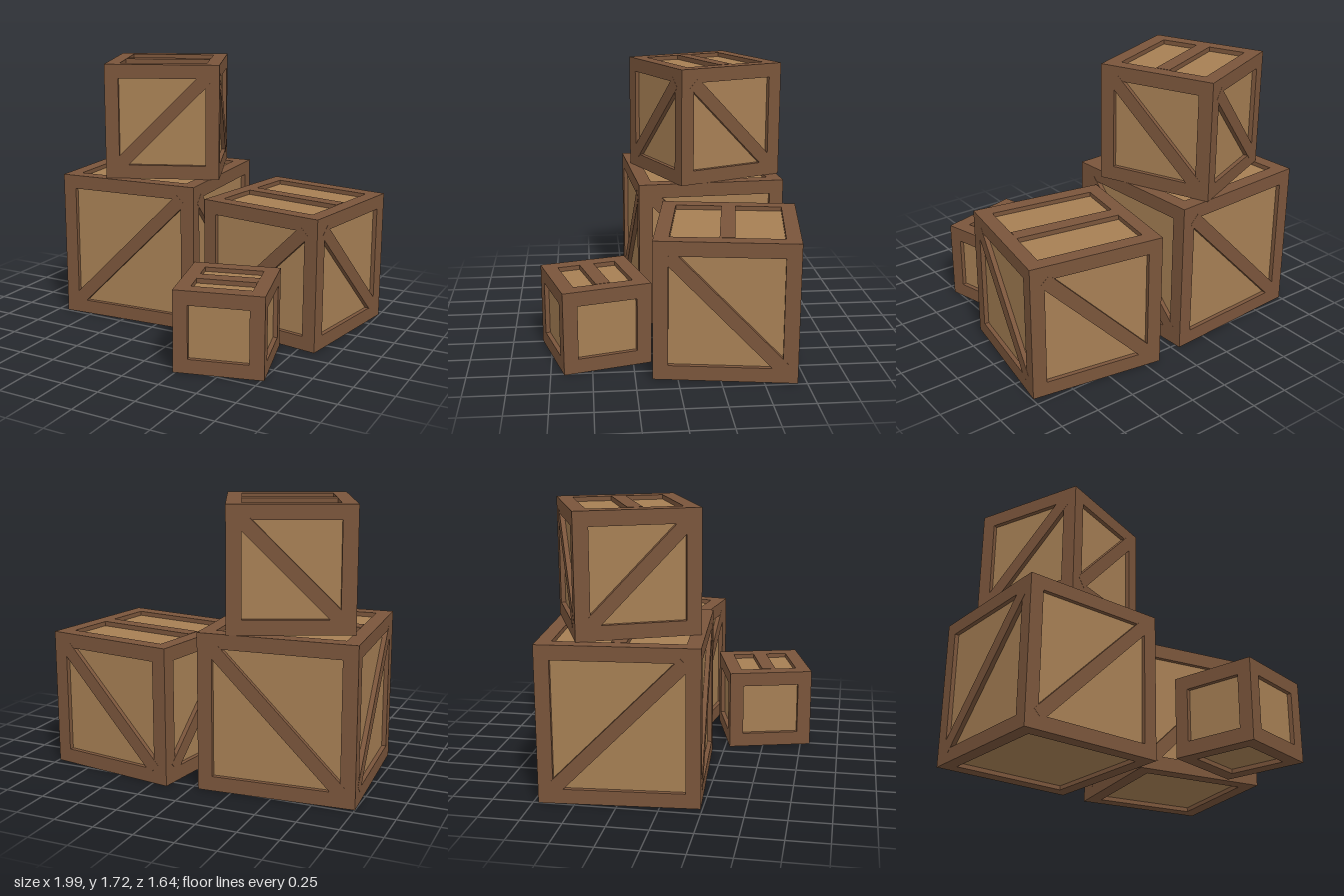
import * as THREE from 'three';

const BEAM = 0.09;    // width of the frame timbers and braces
const RECESS = 0.028; // how far the panels sit behind the frame
const PROUD = 0.002;  // how far braces stand out from the frame

const frameWood = new THREE.MeshStandardMaterial({ name: 'frameWood', color: 0x7a553b });
const panelWood = new THREE.MeshStandardMaterial({ name: 'panelWood', color: 0xa67f54 });

function addBox(parent, name, material, size, position) {
  const mesh = new THREE.Mesh(new THREE.BoxGeometry(...size), material);
  mesh.name = name;
  mesh.position.set(...position);
  parent.add(mesh);
  return mesh;
}

function makeCrate({ name, w, h, x, y, z, turn, braced }) {
  const crate = new THREE.Group();
  crate.name = name;
  crate.position.set(x, y + h / 2, z);
  crate.rotation.y = turn;

  // Recessed panels on all six sides
  addBox(crate, 'panels', panelWood, [w - 2 * RECESS, h - 2 * RECESS, w - 2 * RECESS], [0, 0, 0]);

  // Corner posts and the rails between them
  const inner = w - 2 * BEAM;
  const side = (w - BEAM) / 2;
  const level = (h - BEAM) / 2;
  for (const a of [-1, 1]) {
    for (const b of [-1, 1]) {
      addBox(crate, 'cornerPost', frameWood, [BEAM, h, BEAM], [a * side, 0, b * side]);
      addBox(crate, 'crossRail', frameWood, [inner, BEAM, BEAM], [0, a * level, b * side]);
      addBox(crate, 'sideRail', frameWood, [BEAM, BEAM, inner], [b * side, a * level, 0]);
    }
  }

  // Middle slat on the lid
  const depth = RECESS + PROUD;
  addBox(crate, 'lidSlat', frameWood, [inner, depth, BEAM], [0, h / 2 + PROUD - depth / 2, 0]);

  // One diagonal brace on each upright side, turned from the front
  if (braced) {
    const innerH = h - 2 * BEAM;
    const length = Math.hypot(inner, innerH);
    const slope = Math.atan2(innerH, inner);
    const leans = [1, -1, -1, 1]; // front, +x side, back, -x side
    leans.forEach((lean, i) => {
      const face = new THREE.Group();
      face.name = 'bracedSide';
      face.rotation.y = i * Math.PI / 2;
      const brace = addBox(face, 'diagonalBrace', frameWood,
        [length, BEAM - 0.005, depth], [0, 0, w / 2 + PROUD / 2 - depth / 2]);
      brace.rotation.z = lean * slope;
      crate.add(face);
    });
  }
  return crate;
}

export function createModel() {
  const model = new THREE.Group();
  model.name = 'crateStack';
  const crates = [
    { name: 'largeCrate', w: 0.96, h: 0.965, x: -0.489, y: 0, z: -0.272, turn: 0.07, braced: true },
    { name: 'mediumCrate', w: 0.853, h: 0.856, x: 0.507, y: 0, z: -0.338, turn: -0.153, braced: true },
    { name: 'upperCrate', w: 0.747, h: 0.75, x: -0.425, y: 0.965, z: -0.294, turn: 0.405, braced: true },
    { name: 'smallCrate', w: 0.55, h: 0.515, x: 0.43, y: 0, z: 0.475, turn: 0.264, braced: false },
  ];
  for (const c of crates) model.add(makeCrate(c));
  return model;
}
